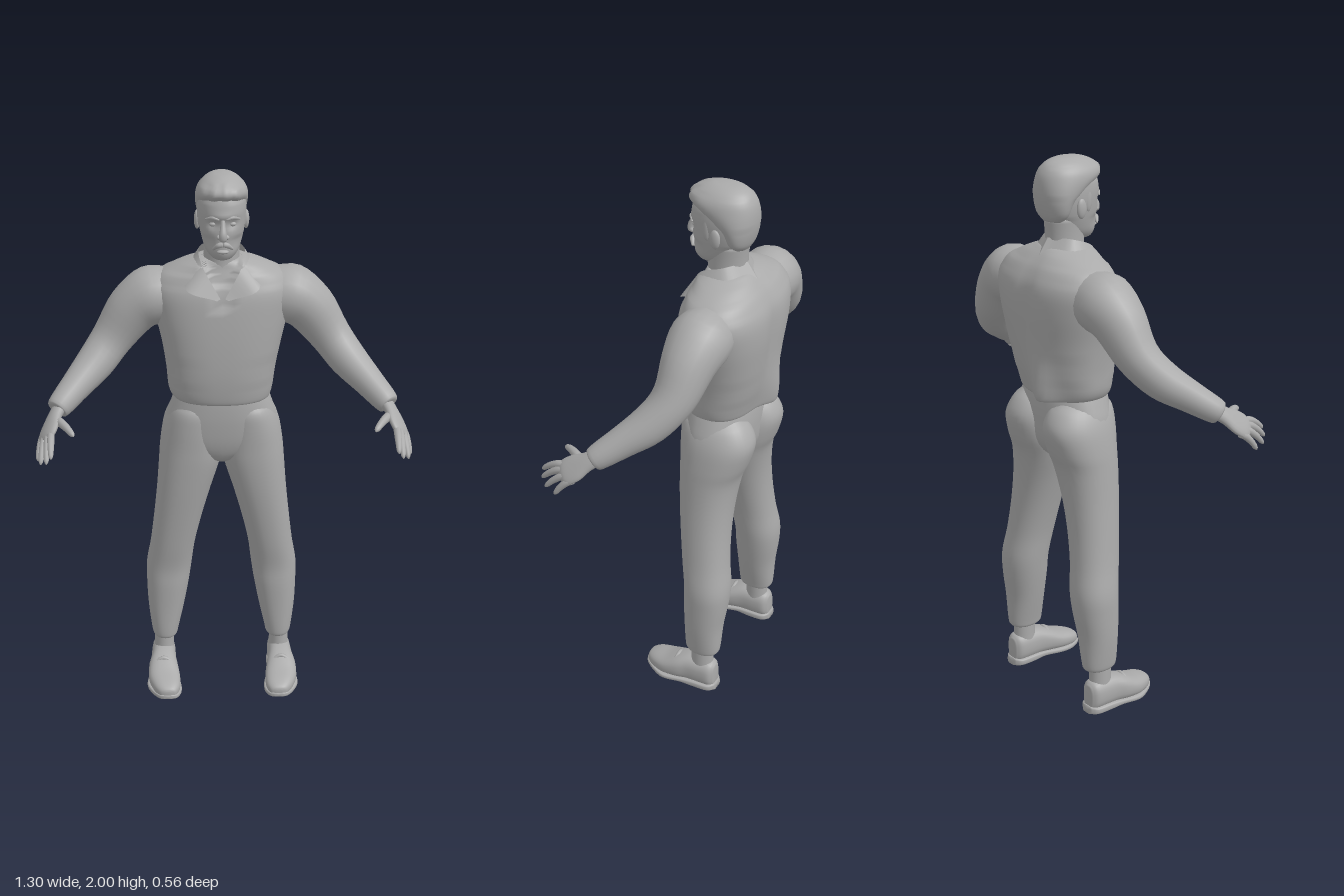
import * as THREE from 'three';

const V = (x, y, z) => new THREE.Vector3(x, y, z);
const smooth = (pts) => new THREE.CatmullRomCurve3(pts, false, 'catmullrom', 0.5);
const bump = (d, w) => Math.exp(-((d / w) ** 2));

// Skin through rings {c: centre, u, v: half axes, e: squareness}; u x v points back along the path.
function loft(rings, seg = 24, sub = 4, rule = null) {
  const n = (rings.length - 1) * sub;
  const C = smooth(rings.map((r) => r.c)), U = smooth(rings.map((r) => r.u)), W = smooth(rings.map((r) => r.v));
  const pos = [], index = [];
  for (let i = 0; i <= n; i++) {
    const c = C.getPoint(i / n), u = U.getPoint(i / n), v = W.getPoint(i / n);
    const e = 2 / (rings[Math.min(rings.length - 1, Math.round(i / sub))].e || 2);
    for (let j = 0; j < seg; j++) {
      const a = (j / seg) * Math.PI * 2, s = Math.sin(a), k = Math.cos(a);
      const p = c.clone()
        .addScaledVector(u, Math.sign(k) * Math.abs(k) ** e)
        .addScaledVector(v, Math.sign(s) * Math.abs(s) ** e);
      if (rule) rule(p);
      pos.push(p.x, p.y, p.z);
      if (i < n) {
        const A = i * seg + j, B = i * seg + (j + 1) % seg;
        index.push(A, A + seg, B, B, A + seg, B + seg);
      }
    }
  }
  // End caps
  const end = pos.length / 3;
  for (const r of [rings[0], rings[rings.length - 1]]) pos.push(r.c.x, r.c.y, r.c.z);
  for (let j = 0; j < seg; j++) {
    const k = (j + 1) % seg;
    index.push(end, j, k, end + 1, n * seg + k, n * seg + j);
  }
  return build(pos, index);
}

function build(pos, index) {
  const g = new THREE.BufferGeometry();
  g.setAttribute('position', new THREE.Float32BufferAttribute(pos, 3));
  g.setIndex(index);
  g.computeVertexNormals();
  return g;
}

// Upright form, rows from the bottom: [y, x0, x1, zBack, zFront, squareness]
const upright = (rows, seg, sub, rule) => loft(rows.map(([y, x0, x1, zb, zf, e]) => ({
  c: V((x0 + x1) / 2, y, (zb + zf) / 2), u: V((x1 - x0) / 2, 0, 0), v: V(0, 0, (zf - zb) / 2), e,
})), seg, sub, rule);

// Limb along points [x, y, z, radius, flatness]; ref is the flattened direction
function limb(points, ref = V(0, 0, 1), seg = 20, sub = 4) {
  const path = smooth(points.map((p) => V(p[0], p[1], p[2])));
  return loft(points.map(([x, y, z, r, flat = 1], i) => {
    const t = path.getTangent(i / (points.length - 1));
    const u = t.clone().cross(ref).normalize();
    return { c: V(x, y, z), u: u.clone().multiplyScalar(r), v: u.clone().cross(t).multiplyScalar(r * flat) };
  }), seg, sub);
}

function ellipsoid(x, y, z, rx, ry, rz) {
  const s = new THREE.SphereGeometry(1, 16, 12);
  s.scale(rx, ry, rz);
  s.translate(x, y, z);
  return s;
}

// Copy reflected to the other side, with its corners reordered
function mirrored(geo) {
  const g = geo.clone(), p = g.attributes.position, ix = g.index;
  for (let i = 0; i < p.count; i++) p.setX(i, -p.getX(i));
  for (let i = 0; i < ix.count; i += 3) {
    const a = ix.getX(i);
    ix.setX(i, ix.getX(i + 1));
    ix.setX(i + 1, a);
  }
  g.computeVertexNormals();
  return g;
}

export function createModel() {
  const model = new THREE.Group();
  model.name = 'standingMan';
  const grey = new THREE.MeshStandardMaterial({ color: 0xaaaaaa, side: THREE.DoubleSide });
  grey.name = 'plain grey';
  const add = (name, geo) => {
    const m = new THREE.Mesh(geo, grey);
    m.name = name;
    model.add(m);
  };
  const pair = (name, geo) => {
    add('left' + name, geo);
    add('right' + name, mirrored(geo));
  };

  // Shirt with a loose back tail, side folds and an open neck
  add('shirt', upright([
    [1.2, -0.155, 0.155, -0.2, 0, 2.3], [1.185, -0.17, 0.17, -0.222, 0.016, 2.3],
    [1.22, -0.19, 0.182, -0.235, 0.026, 2.3], [1.3, -0.198, 0.193, -0.255, 0.034, 2.4],
    [1.4, -0.213, 0.213, -0.27, 0.034, 2.5], [1.5, -0.236, 0.236, -0.28, 0.028, 2.5],
    [1.58, -0.248, 0.248, -0.276, 0.018, 2.5], [1.635, -0.225, 0.225, -0.252, 0.0, 2.4],
    [1.672, -0.165, 0.165, -0.222, -0.012, 2.2], [1.7, -0.095, 0.095, -0.19, -0.02, 2],
    [1.705, -0.06, 0.06, -0.17, -0.04, 2],
  ], 64, 5, (p) => {
    if (p.z < -0.1) {
      p.z -= 0.045 * bump(p.x + 0.055, 0.05) * bump(p.y - 1.18, 0.13);
      p.z += 0.012 * bump(p.x, 0.03) * bump(p.y - 1.5, 0.15);
    } else if (Math.abs(p.x) < (p.y - 1.545) * 0.42) p.z -= 0.016;
  }));

  // Turned-down collar
  const upper = smooth([V(0, 1.735, -0.172), V(0.074, 1.732, -0.12), V(0.07, 1.69, -0.03), V(0.008, 1.585, 0.022)]);
  const lower = smooth([V(0, 1.675, -0.215), V(0.108, 1.675, -0.14), V(0.125, 1.615, 0.008), V(0.02, 1.58, 0.026)]);
  const cp = [], ci = [];
  for (let i = 0; i <= 18; i++) {
    const a = upper.getPoint(i / 18), b = lower.getPoint(i / 18);
    cp.push(a.x, a.y, a.z, b.x, b.y, b.z);
    if (i < 18) ci.push(2 * i, 2 * i + 1, 2 * i + 2, 2 * i + 1, 2 * i + 3, 2 * i + 2);
  }
  pair('Collar', build(cp, ci));

  // Sleeves
  pair('Sleeve', limb([
    [0.16, 1.555, -0.13, 0.095], [0.245, 1.55, -0.13, 0.106], [0.315, 1.5, -0.125, 0.092],
    [0.388, 1.4, -0.11, 0.074], [0.45, 1.325, -0.06, 0.067], [0.515, 1.268, 0.01, 0.054],
    [0.572, 1.218, 0.075, 0.043], [0.58, 1.21, 0.085, 0.03],
  ]));

  // Hands: flat palm, four fingers and a thumb
  const palmSide = V(0.69, 0.63, 0.12);
  pair('Palm', limb([
    [0.565, 1.222, 0.07, 0.03, 0.8], [0.585, 1.198, 0.105, 0.034, 0.6], [0.6, 1.172, 0.14, 0.047, 0.4],
    [0.612, 1.15, 0.172, 0.046, 0.34], [0.618, 1.138, 0.188, 0.03, 0.3],
  ], palmSide));
  const fingers = [
    [0.595, 1.163, 0.197, 0.593, 1.112, 0.279], [0.607, 1.152, 0.187, 0.61, 1.09, 0.272],
    [0.62, 1.142, 0.169, 0.632, 1.076, 0.245], [0.629, 1.132, 0.147, 0.645, 1.07, 0.2],
    [0.578, 1.19, 0.13, 0.516, 1.174, 0.231],
  ];
  fingers.forEach(([x, y, z, X, Y, Z], i) => {
    const r = i === 4 ? 0.015 : 0.0125, at = (t, k) => [x + (X - x) * t, y + (Y - y) * t + 0.008 * t * (1 - t) * 4, z + (Z - z) * t, r * k];
    pair(['IndexFinger', 'MiddleFinger', 'RingFinger', 'LittleFinger', 'Thumb'][i],
      limb([at(-0.2, 1), at(0.2, 1.05), at(0.6, 0.9), at(0.9, 0.65), at(1, 0.15)], palmSide, 10, 3));
  });

  // Trousers: hips and two legs
  add('hips', upright([
    [0.93, -0.03, 0.03, -0.14, -0.06], [0.96, -0.11, 0.11, -0.185, -0.02],
    [1.02, -0.2, 0.2, -0.215, 0.002, 2.3], [1.1, -0.2, 0.2, -0.222, 0.012, 2.3],
    [1.16, -0.182, 0.182, -0.22, 0.014, 2.3], [1.21, -0.163, 0.163, -0.212, 0.012, 2.3],
  ], 40));
  pair('TrouserLeg', upright([
    [0.165, 0.188, 0.25, -0.17, -0.085], [0.172, 0.173, 0.263, -0.19, -0.066, 2.2],
    [0.2, 0.166, 0.27, -0.197, -0.06, 2.2], [0.3, 0.144, 0.281, -0.203, -0.057, 2.2],
    [0.4, 0.125, 0.285, -0.217, -0.053, 2.2], [0.48, 0.113, 0.284, -0.221, -0.052, 2.2],
    [0.58, 0.1, 0.267, -0.208, -0.036, 2.2], [0.7, 0.073, 0.252, -0.2, -0.02, 2.2],
    [0.82, 0.04, 0.239, -0.202, -0.006, 2.2], [0.93, 0.006, 0.23, -0.216, 0.003, 2.2],
    [1.0, -0.004, 0.224, -0.242, 0.006, 2.2], [1.08, 0.0, 0.21, -0.26, 0.009, 2.2],
    [1.14, 0.015, 0.185, -0.235, 0.006, 2.2], [1.18, 0.05, 0.15, -0.19, -0.02],
  ], 32));

  // Ankles and shoes; shoe rows run from the toe: [z, centreX, halfWidth, height]
  pair('Ankle', upright([
    [0.06, 0.183, 0.262, -0.178, -0.075], [0.11, 0.186, 0.261, -0.172, -0.085], [0.2, 0.186, 0.259, -0.17, -0.085],
  ]));
  const shoe = (rows, e) => loft(rows.map(([z, x, w, h, lift = 0]) => ({
    c: V(x, lift + h / 2, z), u: V(w, 0, 0), v: V(0, h / 2, 0), e,
  })), 28);
  pair('Shoe', shoe([
    [0.108, 0.212, 0.012, 0.02, 0.02], [0.1, 0.212, 0.032, 0.042, 0.01], [0.07, 0.216, 0.05, 0.06, 0.006],
    [0.02, 0.224, 0.06, 0.076, 0.006], [-0.035, 0.228, 0.056, 0.1, 0.008], [-0.08, 0.227, 0.048, 0.112, 0.01],
    [-0.13, 0.226, 0.046, 0.115, 0.01], [-0.17, 0.226, 0.041, 0.113, 0.01], [-0.188, 0.226, 0.022, 0.095, 0.012],
  ], 2.5));
  pair('Sole', shoe([
    [0.112, 0.212, 0.015, 0.014, 0.012], [0.1, 0.212, 0.037, 0.02, 0.006], [0.06, 0.217, 0.057, 0.022],
    [0.01, 0.226, 0.065, 0.022], [-0.06, 0.229, 0.053, 0.022, 0.004], [-0.11, 0.227, 0.05, 0.03],
    [-0.17, 0.226, 0.045, 0.03], [-0.194, 0.226, 0.022, 0.03],
  ], 4));
  // Crossed lace ridges
  pair('Lace', limb([[0.19, 0.088, -0.025, 0.006], [0.227, 0.106, -0.03, 0.008], [0.264, 0.088, -0.025, 0.006]], V(0, 0, 1), 8));

  // Neck and head, with eye sockets, cheeks and chin shaped by rule
  add('neck', upright([
    [1.6, -0.07, 0.07, -0.18, -0.015], [1.68, -0.064, 0.064, -0.17, -0.03], [1.74, -0.062, 0.062, -0.17, -0.03],
    [1.8, -0.064, 0.064, -0.175, -0.03],
  ]));
  add('head', upright([
    [1.716, -0.02, 0.02, -0.07, -0.005], [1.722, -0.038, 0.038, -0.1, 0.008], [1.745, -0.057, 0.057, -0.135, 0.019],
    [1.78, -0.069, 0.069, -0.16, 0.021], [1.82, -0.078, 0.078, -0.18, 0.023, 2.2],
    [1.86, -0.083, 0.083, -0.19, 0.024, 2.2], [1.9, -0.083, 0.083, -0.19, 0.025, 2.2],
    [1.94, -0.076, 0.076, -0.18, 0.012], [1.97, -0.05, 0.05, -0.15, -0.02], [1.985, -0.01, 0.01, -0.1, -0.07],
  ], 48, 5, (p) => {
    if (p.z < -0.04) return;
    const x = Math.abs(p.x);
    p.z -= 0.012 * bump(x - 0.033, 0.018) * bump(p.y - 1.846, 0.016);
    p.z += 0.006 * bump(x, 0.05) * bump(p.y - 1.875, 0.012);
    p.z -= 0.006 * bump(x - 0.05, 0.02) * bump(p.y - 1.78, 0.025);
  }));
  add('nose', limb([[0, 1.87, 0.018, 0.007], [0, 1.845, 0.028, 0.009], [0, 1.818, 0.038, 0.013], [0, 1.803, 0.036, 0.014], [0, 1.796, 0.028, 0.007]], V(0, 0, 1), 14));
  pair('Nostril', ellipsoid(0.013, 1.806, 0.026, 0.009, 0.008, 0.012));
  pair('Eye', ellipsoid(0.033, 1.846, 0.004, 0.013, 0.008, 0.009));
  pair('Eyebrow', limb([[0.012, 1.866, 0.026, 0.004], [0.034, 1.872, 0.02, 0.006], [0.058, 1.864, 0.003, 0.003]], V(0, 0, 1), 8));
  pair('Moustache', limb([[0, 1.781, 0.027, 0.009], [0.016, 1.777, 0.026, 0.009], [0.034, 1.762, 0.015, 0.004]], V(0, 0, 1), 10));
  add('lowerLip', ellipsoid(0, 1.754, 0.022, 0.021, 0.007, 0.012));
  pair('Ear', ellipsoid(0.084, 1.835, -0.095, 0.011, 0.034, 0.019));
  pair('Sideburn', ellipsoid(0.077, 1.86, -0.06, 0.007, 0.04, 0.014));

  // Swept-up hair, raised above the forehead and full at the back
  add('hair', upright([
    [1.79, -0.045, 0.045, -0.178, -0.12], [1.815, -0.072, 0.072, -0.191, -0.11], [1.86, -0.085, 0.085, -0.202, -0.085],
    [1.9, -0.09, 0.09, -0.204, -0.03, 2.2], [1.935, -0.089, 0.089, -0.2, 0.027, 2.2],
    [1.96, -0.08, 0.08, -0.19, 0.03, 2.2], [1.982, -0.06, 0.06, -0.172, 0.004],
    [1.996, -0.034, 0.034, -0.14, -0.035], [2.0, -0.008, 0.008, -0.1, -0.075],
  ], 48, 4, (p) => {
    if (p.y > 1.9 && p.y < 1.985) p.z += 0.003 * Math.sin(p.x * 160) * bump(p.z - 0.02, 0.06);
  }));
  return model;
}
